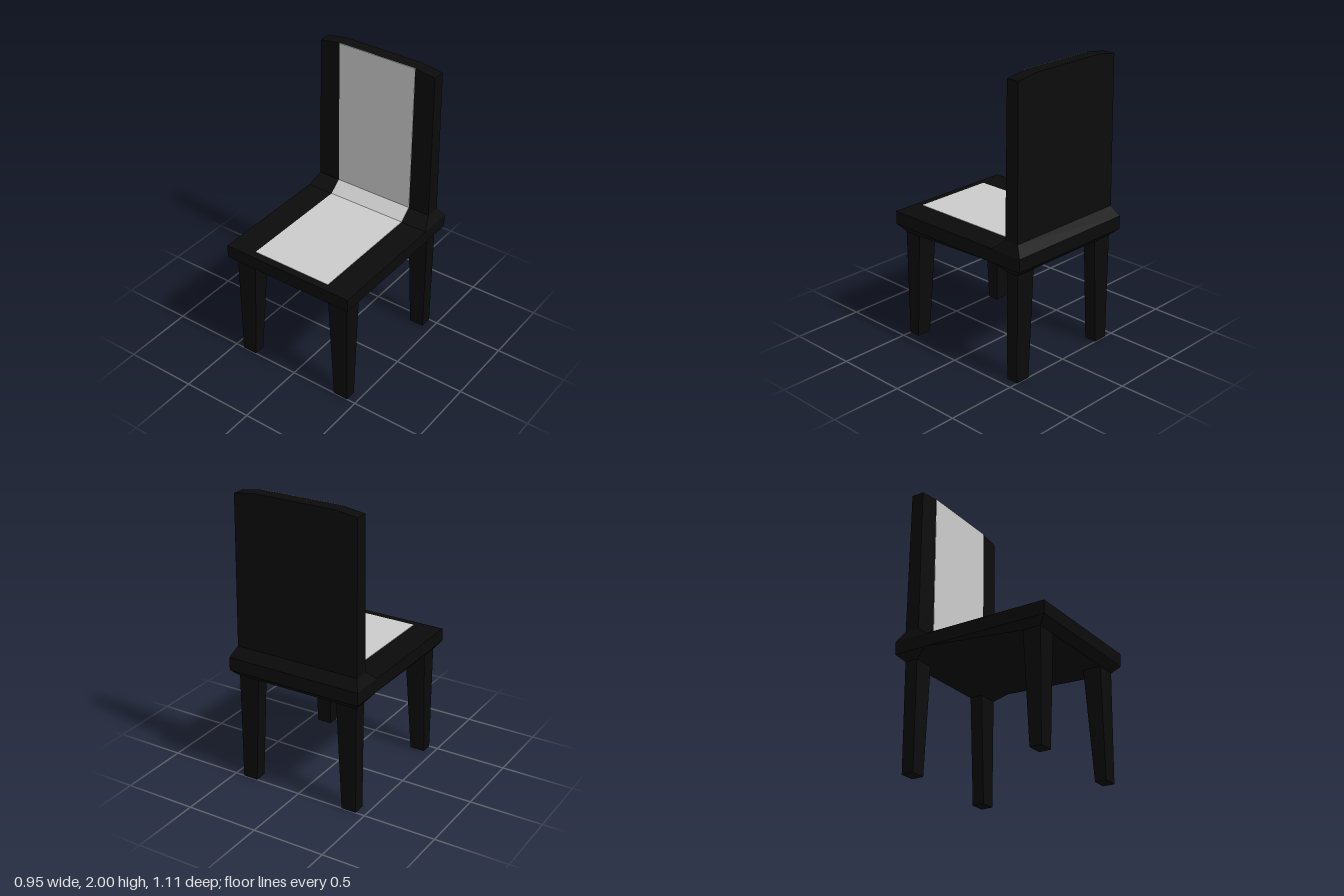
import * as THREE from 'three';
import { ConvexGeometry } from 'three/addons/geometries/ConvexGeometry.js';

// Faceted solid, symmetric about x = 0, from the corners of its left half
function mirroredHull(corners) {
  const pts = corners.flatMap(([x, y, z]) => [new THREE.Vector3(x, y, z), new THREE.Vector3(-x, y, z)]);
  return new ConvexGeometry(pts);
}

// Tapered leg between two rectangles given as [x0, x1, z0, z1]
function legGeometry(bottom, top, height, side) {
  const pts = [];
  for (const [r, y] of [[bottom, 0], [top, height]])
    for (const x of [r[0], r[1]])
      for (const z of [r[2], r[3]]) pts.push(new THREE.Vector3(side * x, y, z));
  return new ConvexGeometry(pts);
}

export function createModel() {
  const frame = new THREE.MeshStandardMaterial({ color: 0x0b0b0b });
  frame.name = 'black frame';
  const fabric = new THREE.MeshStandardMaterial({ color: 0xcccccc });
  fabric.name = 'light grey upholstery';

  const chair = new THREE.Group();
  chair.name = 'chair';
  const add = (name, geometry, material) => {
    const mesh = new THREE.Mesh(geometry, material);
    mesh.name = name;
    chair.add(mesh);
  };

  // Seat slab with chamfered lower edges and a rising underside
  add('seat', mirroredHull([
    [0.477, 0.89, 0.557], [0.477, 0.8, 0.557],
    [0.477, 0.89, -0.32], [0.477, 0.8, -0.32],
    [0.437, 0.75, 0.505], [0.437, 0.75, 0.38], [0.437, 0.79, -0.32],
  ]), frame);

  // Flared beam joining seat, backrest and rear legs
  add('rearBeam', mirroredHull([
    [0.477, 0.89, -0.32], [0.477, 0.8, -0.32], [0.437, 0.79, -0.32],
    [0.437, 0.75, -0.412], [0.437, 0.75, -0.503],
    [0.477, 0.8, -0.557], [0.477, 0.89, -0.557],
    [0.442, 0.96, -0.405], [0.442, 0.96, -0.507],
  ]), frame);

  // Backrest with sloped top corners
  add('backrest', mirroredHull([
    [0.442, 0.96, -0.405], [0.442, 0.96, -0.507],
    [0.435, 1.978, -0.412], [0.435, 1.978, -0.5],
    [0.285, 2, -0.412], [0.285, 2, -0.5],
  ]), frame);

  // Four legs tapering on their inner faces
  for (const [sideName, side] of [['Left', 1], ['Right', -1]]) {
    add('front' + sideName + 'Leg',
      legGeometry([0.33, 0.435, 0.42, 0.5], [0.292, 0.437, 0.38, 0.505], 0.75, side), frame);
    add('rear' + sideName + 'Leg',
      legGeometry([0.33, 0.435, -0.5, -0.415], [0.292, 0.437, -0.503, -0.412], 0.75, side), frame);
  }

  // Thin upholstery strip over seat, slope and backrest, profile in (-z, y)
  const strip = new THREE.Shape([
    [-0.505, 0.888], [0.32, 0.888], [0.407, 0.96], [0.414, 2],
    [0.409, 2], [0.402, 0.962], [0.318, 0.893], [-0.505, 0.893],
  ].map(([x, y]) => new THREE.Vector2(x, y)));
  const stripGeometry = new THREE.ExtrudeGeometry(strip, { depth: 0.574, bevelEnabled: false });
  stripGeometry.translate(0, 0, -0.284).rotateY(Math.PI / 2);
  add('upholstery', stripGeometry, fabric);

  return chair;
}
